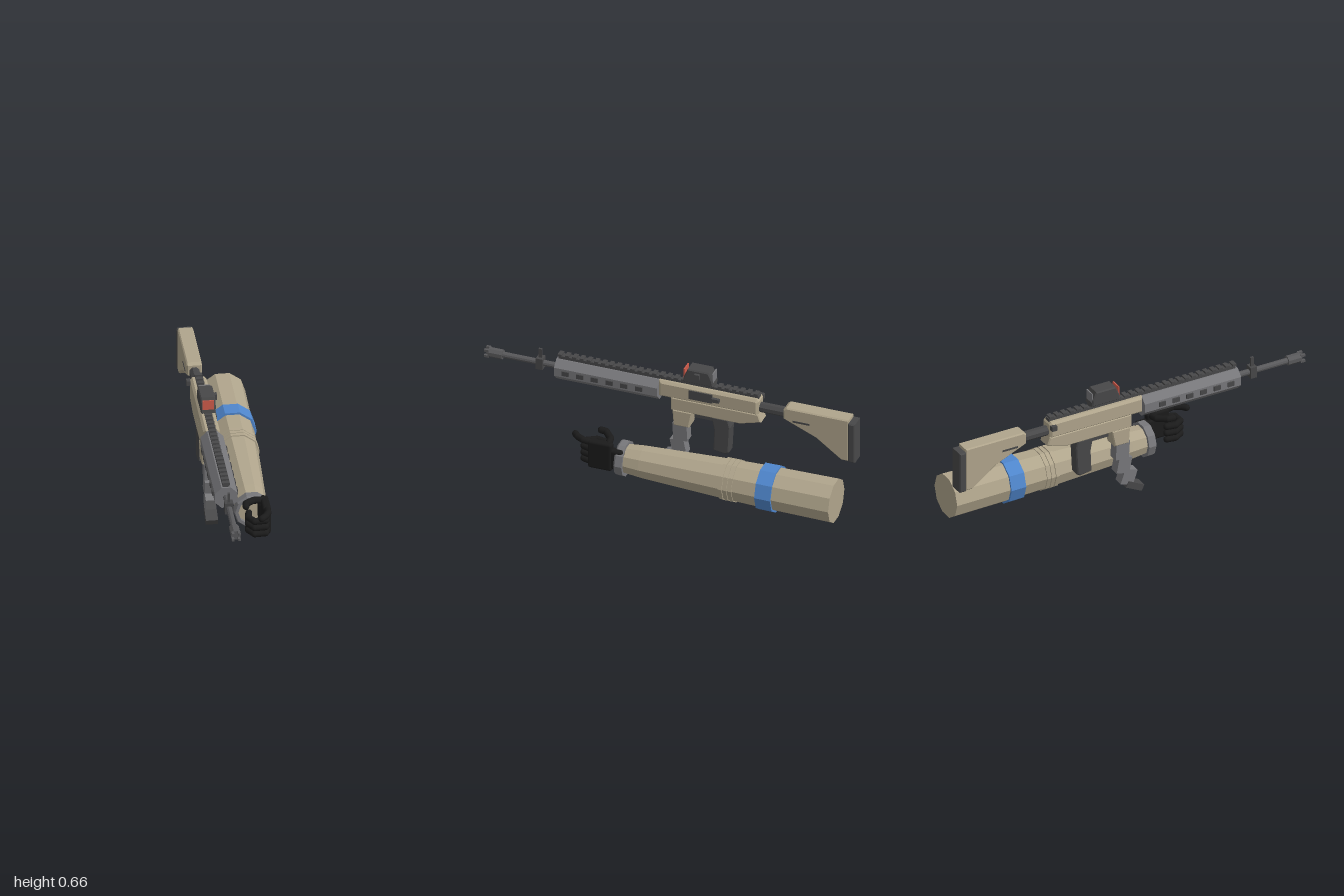
import * as THREE from 'three';
import { RoundedBoxGeometry } from 'three/addons/geometries/RoundedBoxGeometry.js';

const mat = (name, color) => {
  const m = new THREE.MeshStandardMaterial({ color });
  m.name = name;
  return m;
};

export function createModel() {
  const root = new THREE.Group();
  const tan = mat('tan', 0xb0a58c), grey = mat('grey', 0x78787b), dark = mat('darkGrey', 0x484849);
  const steel = mat('steel', 0x59595b), black = mat('black', 0x1b1b1b);
  const blue = mat('blue', 0x4f86cc), red = mat('red', 0xcf5b4b);
  const GX = -0.123, GY = 0.495, AX = 0.063, AY = 0.152;

  const rifle = new THREE.Group();
  rifle.name = 'rifle';
  const arm = new THREE.Group();
  arm.name = 'arm';
  root.add(rifle, arm);

  const add = (parent, name, geo, material, x = 0, y = 0, z = 0) => {
    const mesh = new THREE.Mesh(geo, material);
    mesh.name = name;
    mesh.position.set(x, y, z);
    parent.add(mesh);
    return mesh;
  };
  const flat = (geo) => {
    const g = geo.index ? geo.toNonIndexed() : geo;
    g.computeVertexNormals();
    return g;
  };
  // Box given by its width, height and its z range
  const box = (name, m, x, y, w, h, z0, z1) =>
    add(rifle, name, new THREE.BoxGeometry(w, h, Math.abs(z1 - z0)), m, x, y, (z0 + z1) / 2);
  // Side profile of [z, y] points, extruded across x with a bevel
  const profile = (name, m, pts, w, x = GX, b = 0.006) => {
    const shape = new THREE.Shape(pts.map(([z, y]) => new THREE.Vector2(z, y)));
    const g = new THREE.ExtrudeGeometry(shape, {
      depth: w - 2 * b, bevelEnabled: b > 0, bevelSize: b, bevelThickness: b, bevelOffset: -b, bevelSegments: 1,
    });
    g.translate(0, 0, -(w - 2 * b) / 2);
    g.rotateY(-Math.PI / 2);
    return add(rifle, name, flat(g), m, x);
  };
  // Faceted tube along z, from back z0 to front z1
  const prism = (parent, name, m, x, y, z0, z1, rBack, rFront, sides, start = Math.PI / 2) => {
    const g = new THREE.CylinderGeometry(rFront, rBack, z1 - z0, sides, 1, false, start);
    g.rotateX(Math.PI / 2);
    return add(parent, name, flat(g), m, x, y, (z0 + z1) / 2);
  };

  // Barrel, muzzle and front sight
  prism(rifle, 'barrel', steel, GX, GY, 0.58, 0.93, 0.016, 0.016, 10);
  prism(rifle, 'muzzle', steel, GX, GY, 0.905, 0.98, 0.026, 0.026, 8, Math.PI / 8);
  for (const sx of [-1, 1]) for (const sy of [-1, 1])
    box('muzzleProng', steel, GX + sx * 0.016, GY + sy * 0.016, 0.013, 0.013, 0.975, 1);
  box('frontSightBase', dark, GX, 0.495, 0.044, 0.062, 0.685, 0.722);
  box('frontSightPost', dark, GX, 0.548, 0.012, 0.056, 0.695, 0.713);

  // Handguard with side plates
  prism(rifle, 'handguard', grey, GX, 0.493, 0.055, 0.61, 0.0625, 0.0625, 8, Math.PI / 8);
  for (let i = 0; i < 6; i++) for (const s of [-1, 1])
    box('handguardPlate', dark, GX + s * 0.059, 0.495, 0.012, 0.025, 0.135 + i * 0.079, 0.173 + i * 0.079);

  // Top rail with teeth
  box('rail', dark, GX, 0.558, 0.034, 0.016, -0.475, 0.6);
  for (let i = 0; i < 28; i++)
    box('railTooth', dark, GX, 0.57, 0.038, 0.012, -0.47 + i * 0.039, -0.448 + i * 0.039);

  // Receiver, magazine well and controls
  profile('upperReceiver', tan,
    [[0.055, 0.462], [0.055, 0.553], [-0.47, 0.553], [-0.48, 0.54], [-0.48, 0.462]], 0.084, GX, 0.012);
  profile('lowerReceiver', tan,
    [[-0.01, 0.395], [-0.01, 0.47], [-0.48, 0.47], [-0.495, 0.425], [-0.38, 0.393]], 0.08);
  profile('magazineWell', tan, [[-0.018, 0.4], [-0.125, 0.4], [-0.108, 0.308], [-0.025, 0.308]], 0.084);
  box('ejectionPort', dark, -0.08, 0.511, 0.008, 0.05, -0.235, -0.11);
  box('boltHandle', dark, -0.074, 0.511, 0.02, 0.02, -0.275, -0.235);
  box('selector', dark, -0.173, 0.528, 0.022, 0.026, -0.48, -0.45);
  box('triggerGuard', dark, GX, 0.376, 0.03, 0.026, -0.23, -0.13);
  profile('grip', dark,
    [[-0.225, 0.395], [-0.315, 0.395], [-0.326, 0.35], [-0.318, 0.2], [-0.3, 0.19], [-0.235, 0.2], [-0.24, 0.32]], 0.064);

  // Stepped magazine: [z, y, tilt, width, height, depth]
  [[-0.055, 0.265, 0.06, 0.056, 0.1, 0.076], [-0.045, 0.175, 0.2, 0.054, 0.09, 0.074],
    [-0.018, 0.098, 0.33, 0.054, 0.085, 0.074], [0.015, 0.037, 0.46, 0.062, 0.036, 0.1]].forEach(([z, y, t, w, h, d], i) => {
    const m = add(rifle, i < 3 ? 'magazineSegment' : 'magazineBase', new THREE.BoxGeometry(w, h, d), i < 3 ? grey : dark, GX, y, z);
    m.rotation.x = t;
  });

  // Stock
  prism(rifle, 'bufferTube', dark, GX, 0.495, -0.63, -0.47, 0.027, 0.027, 8, Math.PI / 8);
  profile('stock', tan,
    [[-0.615, 0.475], [-0.615, 0.53], [-0.63, 0.542], [-0.965, 0.542], [-0.965, 0.3], [-0.925, 0.3], [-0.79, 0.4]], 0.078);
  profile('buttPad', dark, [[-0.963, 0.298], [-0.963, 0.525], [-1, 0.525], [-1, 0.298]], 0.084);
  for (const s of [-1, 1]) box('stockSlot', dark, GX + s * 0.038, 0.472, 0.006, 0.01, -0.755, -0.665);

  // Optic
  box('opticMount', dark, GX, 0.575, 0.05, 0.016, -0.22, -0.09);
  profile('opticBody', dark,
    [[-0.074, 0.576], [-0.08, 0.61], [-0.1, 0.655], [-0.212, 0.655], [-0.232, 0.61], [-0.236, 0.576]], 0.076);
  box('frontLens', red, GX, 0.622, 0.058, 0.052, -0.082, -0.076);
  box('rearLens', grey, GX, 0.622, 0.058, 0.052, -0.234, -0.228);
  box('opticKnob', dark, -0.078, 0.626, 0.016, 0.028, -0.168, -0.14);

  // Sleeve, ribs, band and cuff
  prism(arm, 'upperSleeve', tan, AX, AY, -0.955, -0.6, 0.117, 0.113, 10);
  prism(arm, 'elbowSleeve', tan, AX, AY, -0.6, -0.36, 0.113, 0.106, 10);
  prism(arm, 'forearmSleeve', tan, AX, AY, -0.36, 0.08, 0.106, 0.086, 10);
  prism(arm, 'wristSleeve', tan, AX, AY, 0.08, 0.19, 0.086, 0.075, 10);
  for (let i = 0; i < 3; i++)
    prism(arm, 'sleeveRib', tan, AX, AY, -0.432 + i * 0.026, -0.412 + i * 0.026, 0.113, 0.112, 10);
  prism(arm, 'armBand', blue, AX, AY, -0.645, -0.56, 0.124, 0.123, 10);
  const ring = new THREE.LatheGeometry(
    [[0.072, 0], [0.094, 0], [0.094, 0.036], [0.088, 0.045], [0.072, 0.045], [0.072, 0]].map(([r, y]) => new THREE.Vector2(r, y)),
    10, Math.PI / 2);
  ring.rotateX(Math.PI / 2);
  add(arm, 'cuff', flat(ring), grey, AX, AY, 0.165);

  // Gloved hand: palm slab, knuckles and jointed digits
  const hand = new THREE.Group();
  hand.name = 'hand';
  arm.add(hand);
  add(hand, 'palm', new RoundedBoxGeometry(0.042, 0.16, 0.13, 2, 0.014), black, 0.118, 0.181, 0.29);
  add(hand, 'wrist', new RoundedBoxGeometry(0.044, 0.115, 0.1, 2, 0.016), black, 0.112, 0.17, 0.215);
  const digit = (name, r, pts) => {
    const v = pts.map((p) => new THREE.Vector3(...p));
    for (let i = 0; i < v.length - 1; i++) {
      const d = v[i + 1].clone().sub(v[i]);
      const mid = v[i].clone().add(v[i + 1]).multiplyScalar(0.5);
      const m = add(hand, name, new THREE.CapsuleGeometry(r, d.length(), 4, 10), black, mid.x, mid.y, mid.z);
      m.quaternion.setFromUnitVectors(new THREE.Vector3(0, 1, 0), d.normalize());
    }
  };
  for (const y of [0.132, 0.168, 0.205])
    digit('finger', 0.0175, [[0.12, y, 0.335], [0.106, y, 0.385], [0.05, y, 0.388], [0.024, y, 0.345], [0.032, y, 0.3]]);
  digit('indexFinger', 0.0175, [[0.12, 0.243, 0.335], [0.12, 0.25, 0.385], [0.102, 0.251, 0.42], [0.08, 0.25, 0.44]]);
  digit('thumb', 0.018, [[0.115, 0.245, 0.25], [0.06, 0.25, 0.258], [0.018, 0.258, 0.298], [0.015, 0.258, 0.325]]);

  return root;
}
